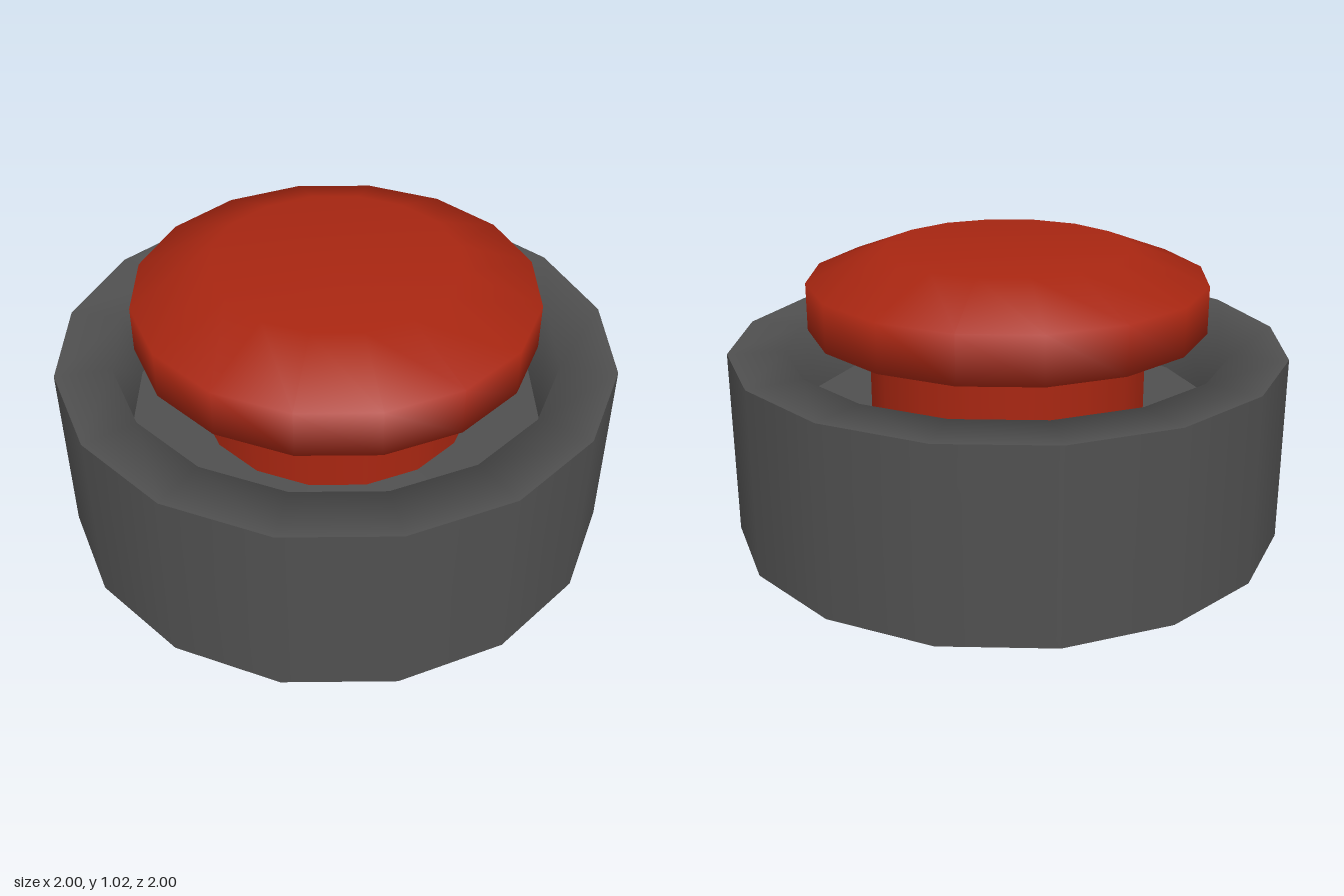
import * as THREE from 'three';

const SIDES = 16;

// Surface of revolution from [radius, height] pairs, listed so the outside is on the right
function turned(name, profile, material) {
  const points = profile.map(([r, y]) => new THREE.Vector2(r, y));
  const mesh = new THREE.Mesh(new THREE.LatheGeometry(points, SIDES), material);
  mesh.name = name;
  return mesh;
}

export function createModel() {
  const housingGrey = new THREE.MeshStandardMaterial({ color: 0x505050, side: THREE.DoubleSide });
  housingGrey.name = 'housing grey';
  const buttonRed = new THREE.MeshStandardMaterial({ color: 0xa82611 });
  buttonRed.name = 'button red';

  const model = new THREE.Group();
  model.name = 'pushButton';

  // Housing: a thin shell, open below, with a sunken well in the top
  const housing = new THREE.Group();
  housing.name = 'housing';
  housing.add(
    turned('outerWall', [[1, 0], [1, 0.675]], housingGrey),
    turned('rimAndWell', [[1, 0.675], [0.8, 0.675], [0.75, 0.43]], housingGrey),
    turned('wellFloor', [[0.75, 0.43], [0, 0.43]], housingGrey)
  );

  // Button: a wide bevelled head on a stem that passes through the well floor
  const button = new THREE.Group();
  button.name = 'button';
  button.add(
    turned('stemBase', [[0, 0.33], [0.5, 0.33]], buttonRed),
    turned('stem', [[0.5, 0.33], [0.5, 0.69]], buttonRed),
    turned('head', [[0.5, 0.69], [0.715, 0.75], [0.715, 0.92], [0.44, 1.025], [0, 1.025]], buttonRed)
  );

  model.add(housing, button);
  return model;
}
